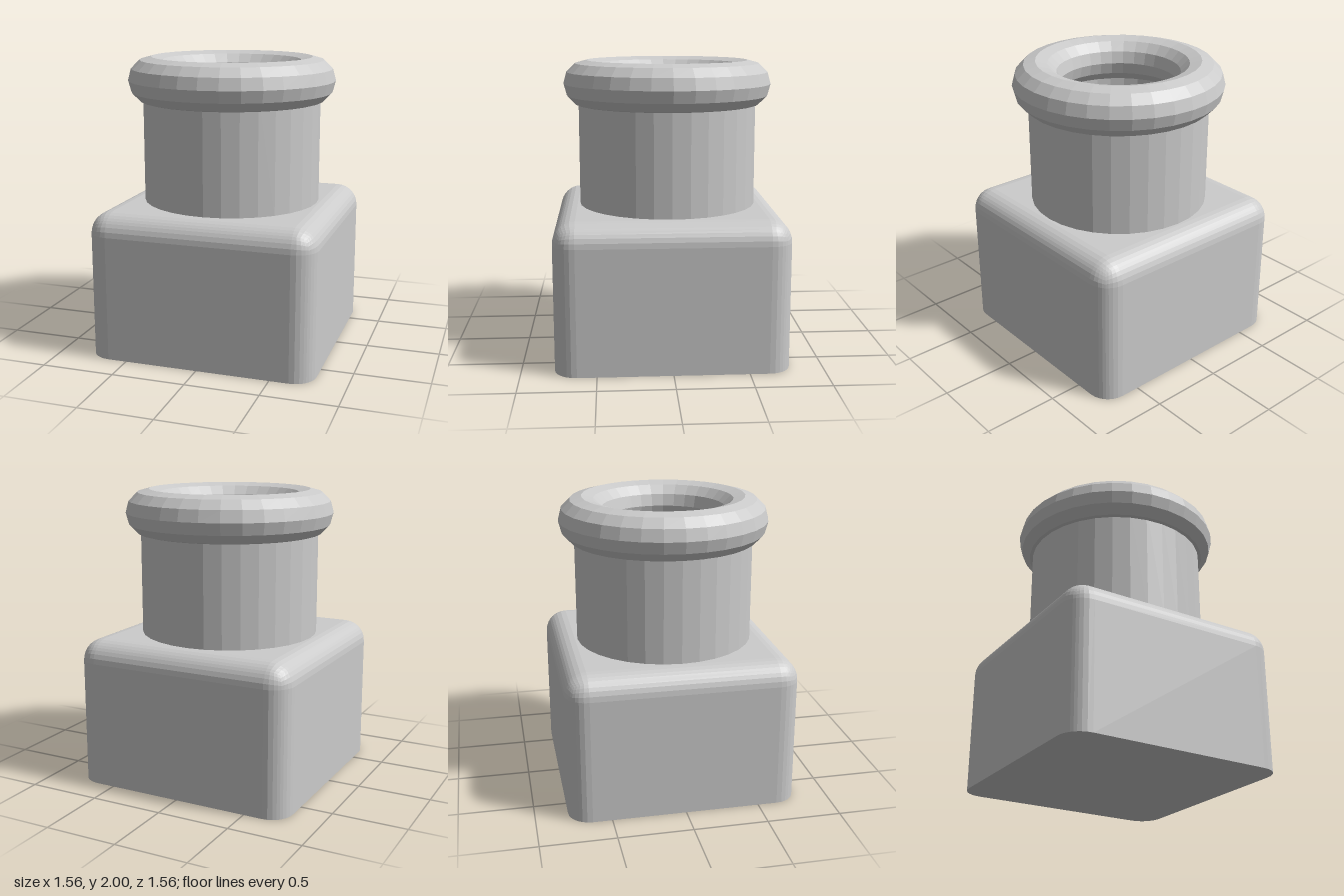
import * as THREE from 'three';
import { RoundedBoxGeometry } from 'three/addons/geometries/RoundedBoxGeometry.js';

const SIDES = 32;

export function createModel() {
  const model = new THREE.Group();
  const material = new THREE.MeshStandardMaterial({ color: 0xcccccc, flatShading: true });

  const add = (name, geometry, y = 0) => {
    const mesh = new THREE.Mesh(geometry, material);
    mesh.name = name;
    mesh.position.y = y;
    model.add(mesh);
  };

  // Square body: rounded box with its lower half pressed flat, so the base edge is sharp
  const body = new RoundedBoxGeometry(1.56, 2.01, 1.56, 4, 0.15);
  const pos = body.attributes.position;
  for (let i = 0; i < pos.count; i++) pos.setY(i, Math.max(0, pos.getY(i)));
  body.computeVertexNormals();
  add('body', body);

  // Hollow neck: outer wall, top edge and inner wall, sunk slightly into the body
  const neckProfile = [[0.613, 0.98], [0.613, 1.8], [0.5, 1.8], [0.5, 0.98]]
    .map(([r, y]) => new THREE.Vector2(r, y));
  add('neck', new THREE.LatheGeometry(neckProfile, SIDES));

  // Thick ring around the mouth
  add('rim', new THREE.TorusGeometry(0.555, 0.16, 12, SIDES).rotateX(Math.PI / 2), 1.84);

  return model;
}
